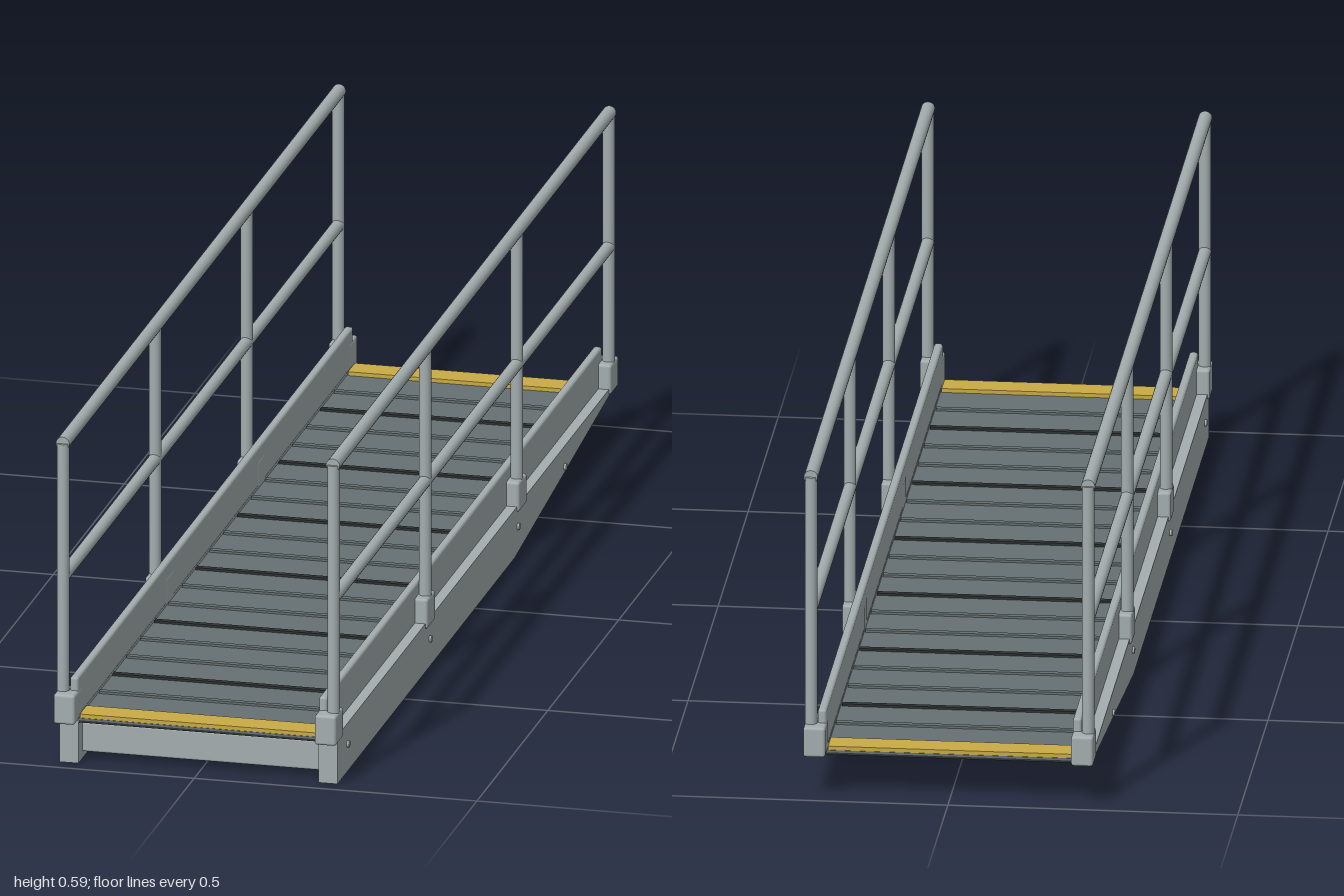
import * as THREE from 'three';
import { RoundedBoxGeometry } from 'three/addons/geometries/RoundedBoxGeometry.js';

const mat = (color) => new THREE.MeshStandardMaterial({ color });

export function createModel() {
  const root = new THREE.Group();
  root.name = 'gangway';
  const metal = mat(0xa4adae), deckGrey = mat(0x667072), dark = mat(0x2f3333), yellow = mat(0xc9ab45);

  const add = (parent, name, geometry, material, x, y, z) => {
    const mesh = new THREE.Mesh(geometry, material);
    mesh.name = name;
    mesh.position.set(x, y, z);
    parent.add(mesh);
    return mesh;
  };
  const box = (parent, name, w, h, d, material, x, y, z) =>
    add(parent, name, new THREE.BoxGeometry(w, h, d), material, x, y, z);
  const rounded = (parent, name, w, h, d, r, x, y, z) =>
    add(parent, name, new RoundedBoxGeometry(w, h, d, 2, r), metal, x, y, z);
  const tube = (parent, name, r, length, axis, x, y, z) => {
    const g = new THREE.CylinderGeometry(r, r, length, 20);
    if (axis === 'x') g.rotateZ(Math.PI / 2);
    if (axis === 'z') g.rotateX(Math.PI / 2);
    return add(parent, name, g, metal, x, y, z);
  };

  // Walking surface with a dark underside
  const deck = new THREE.Group();
  deck.name = 'deck';
  root.add(deck);
  box(deck, 'deckPlate', 0.426, 0.004, 1.94, deckGrey, 0, 0.08, 0);
  box(deck, 'deckUnderside', 0.426, 0.004, 1.94, dark, 0, 0.076, 0);

  // Cleats across the deck; every third one is a dark panel seam
  const pitch = 0.0975;
  for (let i = 0; i < 18; i++) {
    const seam = i % 3 === 1;
    box(deck, seam ? 'panelSeam' : 'cleat', 0.42, 0.004, 0.011,
      seam ? dark : deckGrey, 0, 0.084, (i - 8.5) * pitch);
  }
  for (const s of [-1, 1]) box(deck, 'edgeStrip', 0.42, 0.007, 0.048, yellow, 0, 0.0855, s * 0.945);

  // Cross members under the deck
  for (const z of [0.92, 0.47, 0.02, -0.43]) {
    rounded(root, 'crossMember', 0.426, 0.054, 0.05, 0.004, 0, 0.04, z);
  }

  // Side beam outline: the underside tapers up towards the back
  const outline = new THREE.Shape([
    [-0.97, 0], [0.28, 0], [0.97, 0.078], [0.97, 0.087], [-0.97, 0.087],
  ].map(([x, y]) => new THREE.Vector2(x, y)));
  const beamGeometry = new THREE.ExtrudeGeometry(outline, { depth: 0.034, bevelEnabled: false });
  beamGeometry.translate(0, 0, -0.017).rotateY(Math.PI / 2);

  const posts = [-0.97, -0.323, 0.323, 0.97];
  for (const s of [-1, 1]) {
    const side = new THREE.Group();
    side.name = s > 0 ? 'leftSide' : 'rightSide';
    root.add(side);
    add(side, 'sideBeam', beamGeometry, metal, s * 0.229, 0, 0);
    rounded(side, 'kerb', 0.015, 0.085, 1.94, 0.005, s * 0.22, 0.1125, 0);

    // Handrail
    tube(side, 'topRail', 0.012, 1.95, 'z', s * 0.239, 0.578, 0);
    tube(side, 'midRail', 0.011, 1.94, 'z', s * 0.239, 0.337, 0);
    for (const z of posts) {
      tube(side, 'post', 0.0108, 0.46, 'y', s * 0.239, 0.348, z);
      rounded(side, 'postSocket', 0.038, 0.054, 0.056, 0.005, s * 0.231, 0.104, z);
    }

    // Bolt heads on the outer face
    for (const z of [0.9, 0.32, -0.3, -0.63]) {
      tube(side, 'bolt', 0.006, 0.01, 'x', s * 0.245, 0.05, z);
    }
  }
  return root;
}
